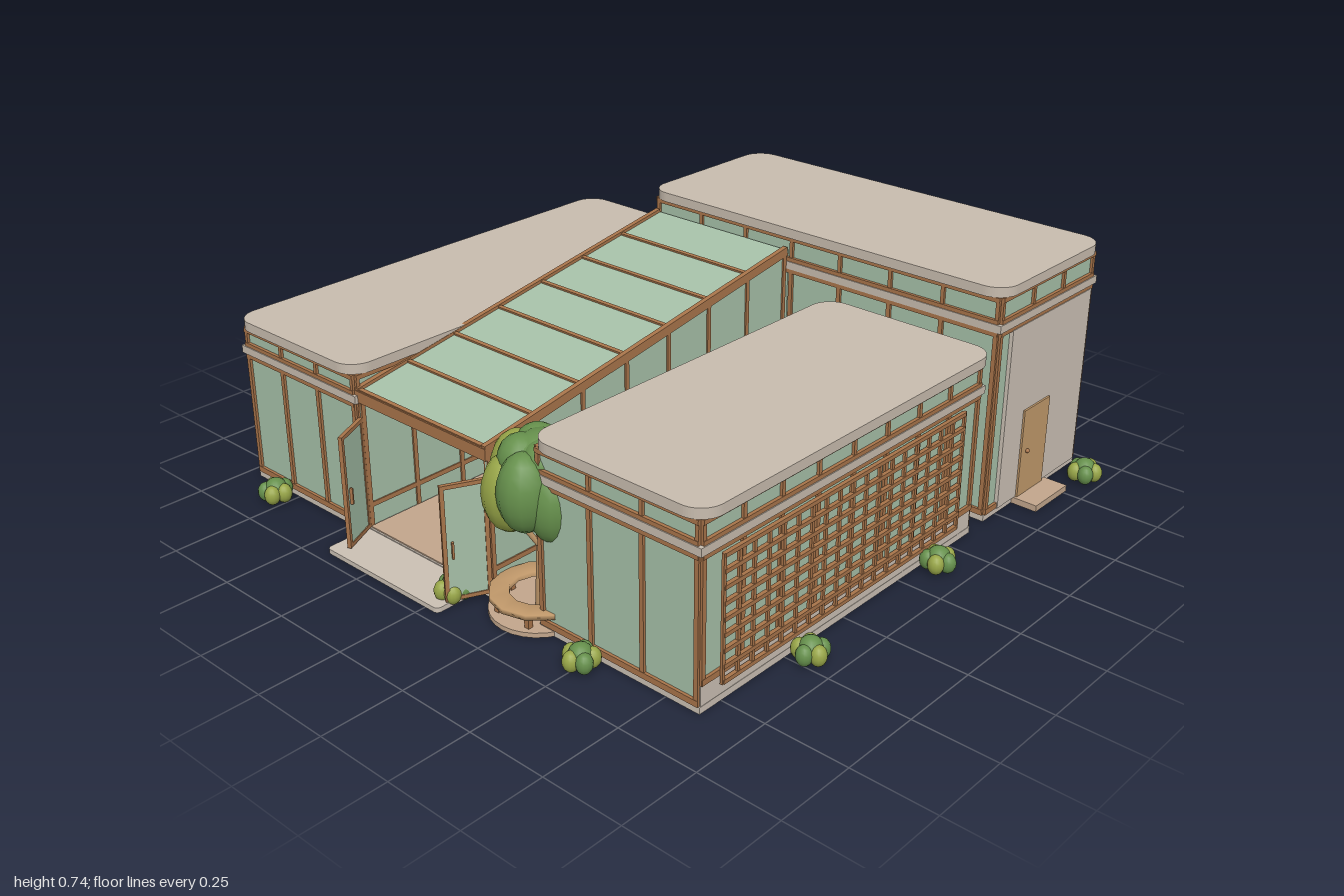
import * as THREE from 'three';

const mat = (name, color, side = THREE.FrontSide) => {
  const m = new THREE.MeshStandardMaterial({ color, side });
  m.name = name;
  return m;
};

export function createModel() {
  const root = new THREE.Group();
  root.name = 'pavilionHouse';
  const M = {
    roof: mat('roofStone', 0xc8bcae), plaster: mat('plaster', 0xcbc0b4),
    glass: mat('greenGlass', 0xa6c0a8), wood: mat('frameWood', 0xa8744a),
    door: mat('doorWood', 0xc0986a), floor: mat('floorTan', 0xc2a68c),
    leaf: mat('leafGreen', 0x66904c), lime: mat('leafLime', 0x98a648),
    stone: mat('paleStone', 0xd2cec4),
  };
  const group = (name, parent = root) => {
    const g = new THREE.Group();
    g.name = name;
    parent.add(g);
    return g;
  };
  const add = (parent, name, geo, m) => {
    const mesh = new THREE.Mesh(geo, m);
    mesh.name = name;
    parent.add(mesh);
    return mesh;
  };
  const box = (p, name, m, x0, x1, y0, y1, z0, z1) => {
    const b = add(p, name, new THREE.BoxGeometry(x1 - x0, y1 - y0, z1 - z0), m);
    b.position.set((x0 + x1) / 2, (y0 + y1) / 2, (z0 + z1) / 2);
    return b;
  };
  // Flat slab with rounded corners in plan
  const slab = (p, name, m, x0, x1, y0, y1, z0, z1, r) => {
    const s = new THREE.Shape();
    const c = [[x1 - r, -z0 - r, 0], [x0 + r, -z0 - r, 1], [x0 + r, -z1 + r, 2], [x1 - r, -z1 + r, 3]];
    c.forEach(([x, y, q]) => s.absarc(x, y, r, q * Math.PI / 2, (q + 1) * Math.PI / 2, false));
    const g = new THREE.ExtrudeGeometry(s, { depth: y1 - y0, bevelEnabled: false, curveSegments: 8 });
    const mesh = add(p, name, g.rotateX(-Math.PI / 2), m);
    mesh.position.y = y0;
    return mesh;
  };

  // One flat-roofed wing; panels gives bay counts for front, back, left (+x), right (-x)
  function wing(name, x0, x1, z0, z1, band, top, roof, panels, sill) {
    const g = group(name);
    box(g, 'base', M.plaster, x0 - 0.005, x1 + 0.005, 0, 0.02, z0 - 0.005, z1 + 0.005);
    box(g, 'glassWalls', M.glass, x0, x1, 0.02, top, z0, z1);
    // Bar on one face, u running along the face
    const bar = (side, n, m, u0, u1, y0, y1, d) => {
      if (side === 'front') return box(g, n, m, u0, u1, y0, y1, z1 - 0.004, z1 + d);
      if (side === 'back') return box(g, n, m, u0, u1, y0, y1, z0 - d, z0 + 0.004);
      if (side === 'left') return box(g, n, m, x1 - 0.004, x1 + d, y0, y1, u0, u1);
      return box(g, n, m, x0 - d, x0 + 0.004, y0, y1, u0, u1);
    };
    for (const side in panels) {
      const along = side === 'front' || side === 'back';
      const a = along ? x0 : z0, b = along ? x1 : z1, n = panels[side], low = sill[side] || 0.02;
      if (low > 0.02) bar(side, 'plinth', M.plaster, a, b, 0.02, low, 0.004);
      bar(side, 'sill', M.wood, a, b, low, low + 0.018, 0.009);
      bar(side, 'lowerRail', M.wood, a, b, band - 0.022, band - 0.008, 0.01);
      bar(side, 'upperRail', M.wood, a, b, band + 0.016, band + 0.028, 0.01);
      bar(side, 'topRail', M.wood, a, b, top - 0.014, top, 0.01);
      for (let i = 0; i <= n; i++) {
        const u = a + 0.006 + (b - a - 0.012) * i / n;
        bar(side, 'mullion', M.wood, u - 0.007, u + 0.007, low, band, 0.008);
        bar(side, 'clerestoryPost', M.wood, u - 0.006, u + 0.006, band, top, 0.008);
      }
    }
    box(g, 'band', M.roof, x0 - 0.013, x1 + 0.013, band - 0.008, band + 0.016, z0 - 0.013, z1 + 0.013);
    slab(g, 'roof', M.roof, roof[0], roof[1], top, top + 0.03, roof[2], roof[3], 0.07);
    return { g, bar };
  }
  const west = wing('westWing', -0.945, -0.435, -0.64, 0.815, 0.425, 0.5, [-0.97, -0.42, -0.67, 0.835],
    { front: 3, back: 3, left: 8, right: 9 }, { right: 0.08 });
  const east = wing('eastWing', 0.31, 0.855, -0.35, 0.825, 0.455, 0.54, [0.295, 0.88, -0.385, 0.845],
    { front: 3, back: 3, left: 8, right: 7 }, { left: 0.08 });
  const hall = wing('rearHall', -0.435, 0.85, -0.945, -0.44, 0.61, 0.705, [-0.455, 0.87, -0.97, -0.42],
    { front: 7, back: 7, left: 3, right: 3 }, { right: 0.08 });

  // Solid rear and side walls of the hall, with door and step
  hall.bar('back', 'rearWall', M.plaster, -0.425, 0.84, 0.02, 0.59, 0.012);
  hall.bar('left', 'sideWall', M.plaster, -0.935, -0.5, 0.02, 0.59, 0.012);
  hall.bar('left', 'door', M.door, -0.74, -0.6, 0.02, 0.305, 0.018);
  const knob = add(hall.g, 'doorKnob', new THREE.SphereGeometry(0.007, 10, 8), M.wood);
  knob.position.set(0.871, 0.165, -0.63);
  box(hall.g, 'sideStep', M.floor, 0.85, 0.94, 0, 0.02, -0.765, -0.59);

  // Trellises
  const trellis = (parent, x, z0, z1, y0, y1, cols) => {
    const g = group('trellis', parent);
    for (let i = 0; i <= cols; i++) {
      const z = z0 + (z1 - z0) * i / cols;
      box(g, 'upright', M.wood, x - 0.004, x + 0.004, y0, y1, z - 0.005, z + 0.005);
    }
    for (let j = 0; j < 9; j++) {
      const y = y0 + 0.006 + (y1 - y0 - 0.012) * j / 8;
      box(g, 'slat', M.wood, x - 0.006, x + 0.006, y - 0.006, y + 0.006, z0, z1);
    }
  };
  trellis(east.g, 0.868, -0.265, 0.755, 0.055, 0.425, 18);
  trellis(west.g, -0.957, 0.6, 0.8, 0.055, 0.4, 4);

  // Glazed atrium with sloping roof
  const atrium = group('atrium');
  const K = 0.167, tilt = Math.atan(K), roofY = z => 0.45 + (0.81 - z) * K;
  const sloped = (name, m, x0, x1, z0, z1, t, lift = 0) => {
    const len = (z1 - z0) / Math.cos(tilt), zc = (z0 + z1) / 2;
    const b = add(atrium, name, new THREE.BoxGeometry(x1 - x0, t, len), m);
    b.position.set((x0 + x1) / 2, roofY(zc) + lift, zc);
    b.rotation.x = tilt;
  };
  box(atrium, 'atriumBase', M.plaster, -0.435, 0.1, 0, 0.018, -0.44, 0.815);
  box(atrium, 'atriumFloor', M.floor, -0.42, 0.09, 0.018, 0.022, -0.44, 0.81);
  sloped('glassRoof', M.glass, -0.42, 0.095, -0.43, 0.81, 0.008);
  for (let i = 0; i < 7; i++) {
    const z = 0.807 - i * 0.1765;
    sloped('roofBar', M.wood, -0.42, 0.095, z - 0.006, z + 0.006, 0.02);
  }
  const side = new THREE.Shape([[-0.44, 0.02], [0.81, 0.02], [0.81, roofY(0.81)], [-0.44, roofY(-0.44)]]
    .map(p => new THREE.Vector2(...p)));
  for (const x of [-0.427, 0.097]) {
    const wall = add(atrium, 'sideGlass', new THREE.ExtrudeGeometry(side, { depth: 0.006, bevelEnabled: false }), M.glass);
    wall.rotation.y = -Math.PI / 2;
    wall.position.x = x + 0.003;
    sloped('edgeRafter', M.wood, x - 0.008, x + 0.008, -0.43, 0.815, 0.028);
    box(atrium, 'sideSill', M.wood, x - 0.007, x + 0.007, 0.08, 0.095, -0.43, 0.81);
    for (let i = 0; i < 8; i++) {
      const z = 0.803 - i * 0.1745;
      box(atrium, 'sidePost', M.wood, x - 0.008, x + 0.008, 0.02, roofY(z), z - 0.007, z + 0.007);
    }
  }
  box(atrium, 'frontBeam', M.wood, -0.435, 0.105, 0.42, 0.455, 0.798, 0.818);
  slab(atrium, 'frontStep', M.plaster, -0.425, 0.05, 0, 0.015, 0.78, 0.965, 0.015);

  // Open entrance doors
  for (const s of [-1, 1]) {
    const leaf = group('entranceDoor', atrium);
    leaf.position.set(s < 0 ? -0.425 : 0.1, 0, 0.812);
    leaf.rotation.y = s < 0 ? -1.12 : Math.PI + 1.12;
    box(leaf, 'doorGlass', M.glass, 0.005, 0.125, 0.03, 0.36, -0.003, 0.003);
    for (const x of [0, 0.118]) box(leaf, 'doorStile', M.wood, x, x + 0.012, 0.02, 0.37, -0.006, 0.006);
    for (const y of [0.02, 0.358]) box(leaf, 'doorRail', M.wood, 0, 0.13, y, y + 0.012, -0.006, 0.006);
    box(leaf, 'doorHandle', M.wood, 0.1, 0.106, 0.15, 0.2, -0.012, 0.012);
  }

  // Furniture inside the atrium
  const seating = group('furniture', atrium);
  box(seating, 'tableTop', M.wood, -0.15, 0.03, 0.1, 0.112, 0.25, 0.38);
  for (const x of [-0.145, 0.015]) for (const z of [0.255, 0.365])
    box(seating, 'tableLeg', M.wood, x, x + 0.01, 0.02, 0.1, z, z + 0.01);
  for (const x of [-0.13, -0.05]) {
    box(seating, 'chairSeat', M.wood, x, x + 0.06, 0.065, 0.075, 0.4, 0.46);
    for (const dx of [0, 0.05]) for (const z of [0.4, 0.45])
      box(seating, 'chairLeg', M.wood, x + dx, x + dx + 0.01, 0.02, z > 0.42 ? 0.12 : 0.065, z, z + 0.01);
    box(seating, 'chairBack', M.wood, x, x + 0.06, 0.1, 0.122, 0.452, 0.458);
  }
  box(seating, 'cabinet', M.door, -0.075, 0.03, 0.02, 0.185, 0.05, 0.12);
  box(seating, 'screen', M.glass, -0.137, -0.092, 0.112, 0.19, 0.3, 0.306);
  const arch = add(seating, 'archPlant', new THREE.TorusGeometry(0.045, 0.01, 8, 16, Math.PI), M.leaf);
  arch.position.set(-0.03, 0.185, 0.085);

  // Deck and round bench beneath the tree
  const garden = group('garden');
  box(garden, 'deck', M.floor, 0.1, 0.31, 0, 0.014, 0.37, 0.75);
  const T = [0.235, 0.76];
  const disc = add(garden, 'planterBase', new THREE.CylinderGeometry(0.142, 0.142, 0.014, 28), M.floor);
  disc.position.set(T[0], 0.008, T[1]);
  const ring = [[0.085, 0.05], [0.14, 0.05], [0.14, 0.065], [0.085, 0.065], [0.085, 0.05]];
  const bench = add(garden, 'ringBench', new THREE.LatheGeometry(ring.map(p => new THREE.Vector2(...p)), 12), M.door);
  bench.position.set(T[0], 0, T[1]);
  for (let i = 0; i < 6; i++) {
    const a = i * Math.PI / 3, x = T[0] + 0.115 * Math.cos(a), z = T[1] + 0.115 * Math.sin(a);
    box(garden, 'benchLeg', M.wood, x - 0.008, x + 0.008, 0.01, 0.05, z - 0.008, z + 0.008);
  }

  // Tree: trunk, branches and a clustered crown
  const tree = group('tree', garden);
  tree.position.set(T[0] + 0.005, 0, T[1] - 0.005);
  const trunk = add(tree, 'trunk', new THREE.CylinderGeometry(0.011, 0.022, 0.27, 9), M.door);
  trunk.position.y = 0.145;
  for (let i = 0; i < 3; i++) {
    const a = i * 2.1, end = new THREE.Vector3(0.07 * Math.cos(a), 0.3, 0.07 * Math.sin(a));
    const path = new THREE.LineCurve3(new THREE.Vector3(0, 0.19, 0), end);
    add(tree, 'branch', new THREE.TubeGeometry(path, 1, 0.008, 7), M.door);
  }
  const blob = (p, r, x, y, z, m, sy = 1) => {
    const b = add(p, 'foliage', new THREE.SphereGeometry(r, 14, 10), m);
    b.scale.y = sy;
    b.position.set(x, y, z);
  };
  blob(tree, 0.115, 0.01, 0.41, 0, M.leaf, 1.1);
  for (let i = 0; i < 7; i++) {
    const a = i * Math.PI * 2 / 7 + 0.4, c = Math.cos(a), s = Math.sin(a);
    blob(tree, 0.075, 0.01 + 0.085 * c, 0.37 + 0.03 * (i % 2), 0.085 * s, c < -0.2 ? M.lime : M.leaf, 1.5);
  }
  for (let i = 0; i < 4; i++) {
    const a = i * Math.PI / 2 + 0.6;
    blob(tree, 0.065, 0.01 + 0.05 * Math.cos(a), 0.465, 0.05 * Math.sin(a), M.leaf, 1.05);
  }

  // Bushes and a boulder
  const spots = [[-0.965, 0.72], [-0.78, 0.88], [0.025, 0.885], [0.51, 0.885], [0.92, 0.47],
    [0.91, -0.12], [0.945, -0.86], [0.165, -0.39]];
  spots.forEach(([x, z], k) => {
    const bush = group('bush', garden);
    bush.position.set(x, 0, z);
    blob(bush, 0.034, 0, 0.042, 0, M.leaf);
    for (let i = 0; i < 5; i++) {
      const a = i * Math.PI * 0.4 + k;
      blob(bush, 0.024, 0.03 * Math.cos(a), 0.034, 0.03 * Math.sin(a), i % 2 ? M.leaf : M.lime, 1.25);
    }
  });
  blob(garden, 0.045, 0.32, 0.048, -0.4, M.stone, 0.6);
  garden.children.at(-1).name = 'boulder';
  return root;
}
